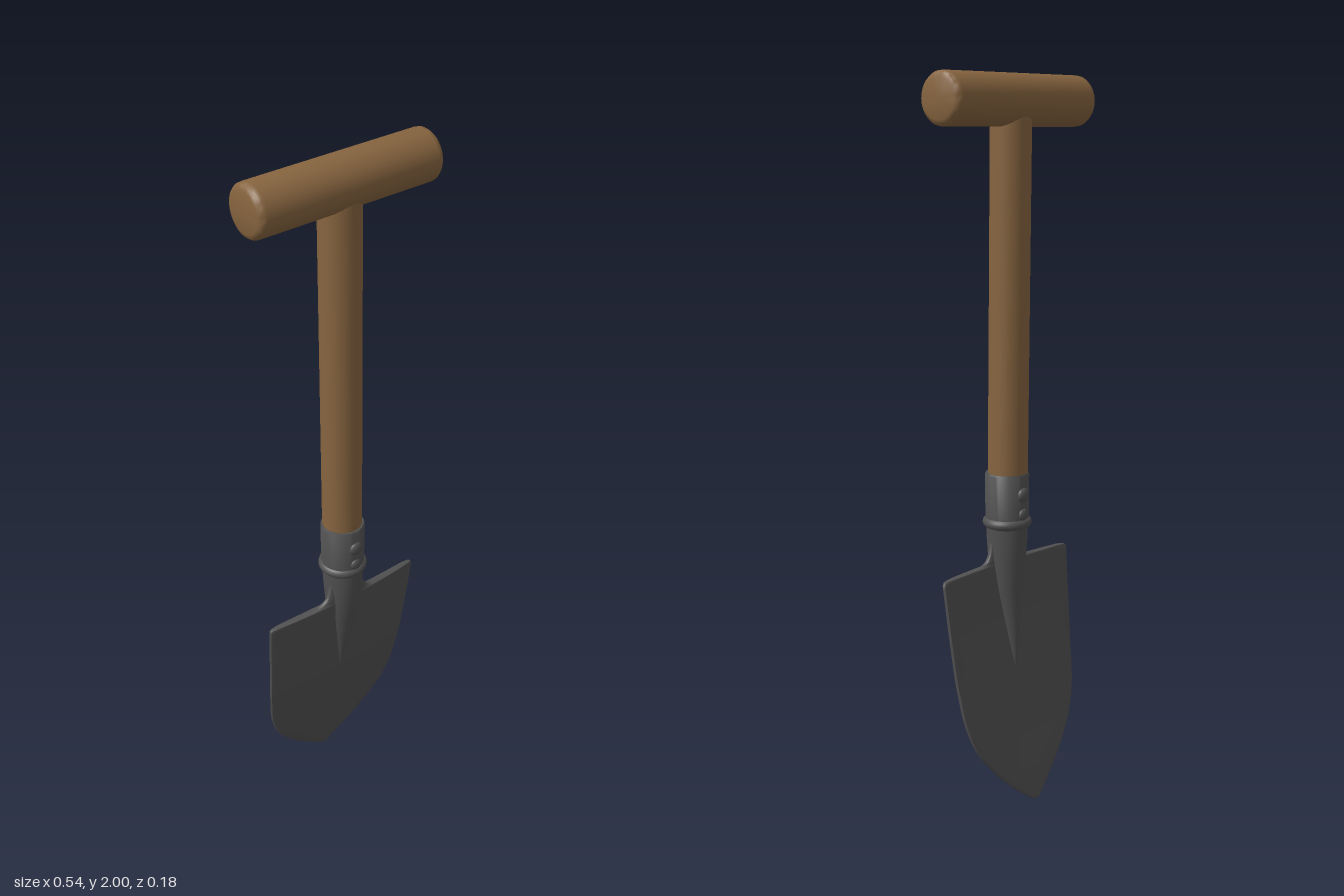
import * as THREE from 'three';
import { toCreasedNormals } from 'three/addons/utils/BufferGeometryUtils.js';

const wood = new THREE.MeshStandardMaterial({ color: 0x86643f });
wood.name = 'wood';
const steel = new THREE.MeshStandardMaterial({ color: 0x505050 });
steel.name = 'steel';

const V = (x, y, z = 0) => new THREE.Vector3(x, y, z);
const { clamp, lerp } = THREE.MathUtils;

// Value at y in a table of [y, value, ...] rows, in ascending y
function sample(table, y, col = 1) {
  let i = 0;
  while (i < table.length - 2 && y > table[i + 1][0]) i++;
  const a = table[i], b = table[i + 1];
  return lerp(a[col], b[col], clamp((y - a[0]) / (b[0] - a[0]), 0, 1));
}

// Skin over closed rings, listed from bottom to top; point(row, angle) gives a position
function loft(rows, sides, point, crease) {
  const pos = [], index = [];
  rows.forEach((row) => {
    for (let j = 0; j < sides; j++) pos.push(...point(row, (j / sides) * Math.PI * 2).toArray());
  });
  for (let i = 0; i < rows.length - 1; i++) {
    for (let j = 0; j < sides; j++) {
      const k = (j + 1) % sides;
      const a = i * sides + j, b = i * sides + k, c = a + sides, d = b + sides;
      index.push(a, c, b, b, c, d);
    }
  }
  const g = new THREE.BufferGeometry();
  g.setAttribute('position', new THREE.Float32BufferAttribute(pos, 3));
  g.setIndex(index);
  if (crease) return toCreasedNormals(g, crease);
  g.computeVertexNormals();
  return g;
}

// Turned part with crisp ends, from [radius, height] pairs
const turned = (pairs) => toCreasedNormals(
  new THREE.LatheGeometry(pairs.map(([r, y]) => new THREE.Vector2(r, y)), 40), 0.7);

export function createModel() {
  const group = new THREE.Group();
  const add = (name, geometry, material, x = 0, y = 0, z = 0) => {
    const mesh = new THREE.Mesh(geometry, material);
    mesh.name = name;
    mesh.position.set(x, y, z);
    group.add(mesh);
    return mesh;
  };

  // Cross grip with softly rounded ends
  const L = 0.272, R = 0.068;
  const grip = add('grip', turned([
    [0, -L], [R - 0.016, -L], [R - 0.006, -L + 0.004], [R - 0.001, -L + 0.011], [R, -L + 0.02],
    [R, L - 0.02], [R - 0.001, L - 0.011], [R - 0.006, L - 0.004], [R - 0.016, L], [0, L],
  ]), wood, 0, 1.932, 0.005);
  grip.rotation.z = Math.PI / 2;

  // Shaft, leaning very slightly back
  const shaft = add('shaft', new THREE.CylinderGeometry(0.055, 0.055, 1.04, 40), wood, 0, 1.4, 0.0135);
  shaft.rotation.x = -0.0126;

  // Socket sleeve and collar
  add('socket', turned([
    [0, -0.075], [0.06, -0.075], [0.061, 0.07], [0.058, 0.075], [0.05, 0.075],
  ]), steel, 0, 0.867, 0.022);
  const collar = add('collar', new THREE.TorusGeometry(0.053, 0.015, 14, 48), steel, 0, 0.802, 0.022);
  collar.rotation.x = Math.PI / 2;

  // Rivets on both faces of the socket
  for (const side of [1, -1]) {
    for (const [y, r] of [[0.885, 0.021], [0.83, 0.017]]) {
      const rivet = add('rivet', new THREE.SphereGeometry(r, 20, 14), steel, 0, y, 0.022 + side * 0.058);
      rivet.scale.z = 0.6;
    }
  }

  // Blade: the outline as [y, half width]
  const edge = new THREE.CatmullRomCurve3([
    V(0.001, 0.003), V(0.012, 0.008), V(0.06, 0.045), V(0.13, 0.11), V(0.195, 0.195),
    V(0.225, 0.275), V(0.239, 0.38), V(0.248, 0.52), V(0.255, 0.665),
  ], false, 'centripetal').getPoints(56).map((p) => [p.y, p.x]);
  const shoulder = [
    [0.676, 0.255], [0.682, 0.25], [0.684, 0.24], [0.685, 0.17], [0.686, 0.1],
    [0.69, 0.083], [0.698, 0.071], [0.712, 0.062], [0.74, 0.055], [0.76, 0.05],
  ];
  const sweep = [[0, -0.082], [0.1, -0.058], [0.2, -0.033], [0.3, -0.014], [0.4, 0.003], [0.55, 0.021], [0.68, 0.035], [0.76, 0.035]];
  add('blade', loft([...edge, ...shoulder], 48, ([y, w], a) => {
    const x = w * Math.cos(a), s = Math.sin(a);
    const thick = 0.012 * Math.sign(s) * Math.abs(s) ** 0.45 * Math.min(1, w / 0.015);
    return V(x, y, sample(sweep, y) - 0.012 * (x / 0.25) ** 2 + thick);
  }, 0.7), steel);

  // Neck tapering into the blade, as [y, half width, front z, back z]
  const neck = [
    [0.36, 0.002, 0.0, -0.006], [0.4, 0.008, 0.016, -0.014], [0.46, 0.018, 0.029, -0.018],
    [0.55, 0.033, 0.05, -0.02], [0.62, 0.044, 0.065, -0.024], [0.69, 0.051, 0.076, -0.03],
    [0.75, 0.055, 0.08, -0.035], [0.81, 0.057, 0.08, -0.036],
  ];
  add('neck', loft(neck, 40, ([y, w, front, back], a) =>
    V(w * Math.cos(a), y, (front + back) / 2 + ((front - back) / 2) * Math.sin(a))), steel);

  return group;
}
